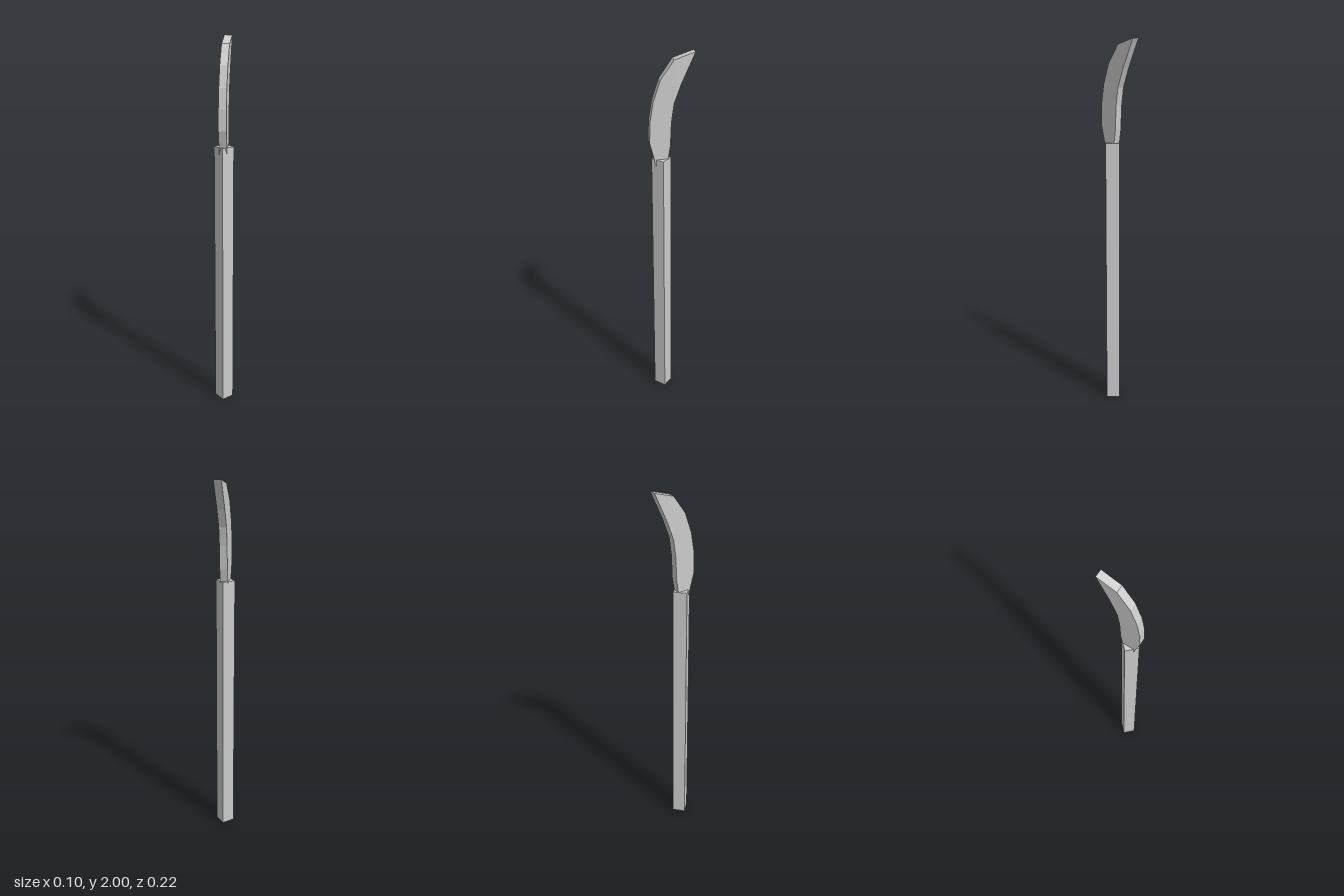
import * as THREE from 'three';

export function createModel() {
  const model = new THREE.Group();
  const material = new THREE.MeshStandardMaterial({ color: 0xcccccc, flatShading: true });

  // Square shaft, turned so that an edge faces forward
  const shaftHeight = 1.47;
  const shaft = new THREE.Mesh(new THREE.CylinderGeometry(0.05, 0.05, shaftHeight, 4), material);
  shaft.name = 'shaft';
  shaft.position.set(0, shaftHeight / 2, 0.05);
  model.add(shaft);

  // Curved blade: a flat [z, y] outline, its foot sunk into the shaft
  const outline = [
    [0.077, 1.42], [0.09, 1.475], [0.112, 1.56], [0.109, 1.67], [0.092, 1.77], [0.056, 1.875],
    [-0.01, 1.968], [-0.113, 2.0],
    [-0.045, 1.85], [-0.01, 1.755], [0.003, 1.66], [0.008, 1.54], [0.022, 1.45], [0.03, 1.42],
  ];
  const thickness = 0.04;
  const shape = new THREE.Shape(outline.map(([z, y]) => new THREE.Vector2(-z, y)));
  const geometry = new THREE.ExtrudeGeometry(shape, { depth: thickness, bevelEnabled: false });
  geometry.translate(0, 0, -thickness / 2);
  geometry.rotateY(Math.PI / 2); // outline -z becomes model z
  const blade = new THREE.Mesh(geometry, material);
  blade.name = 'blade';
  model.add(blade);

  return model;
}
